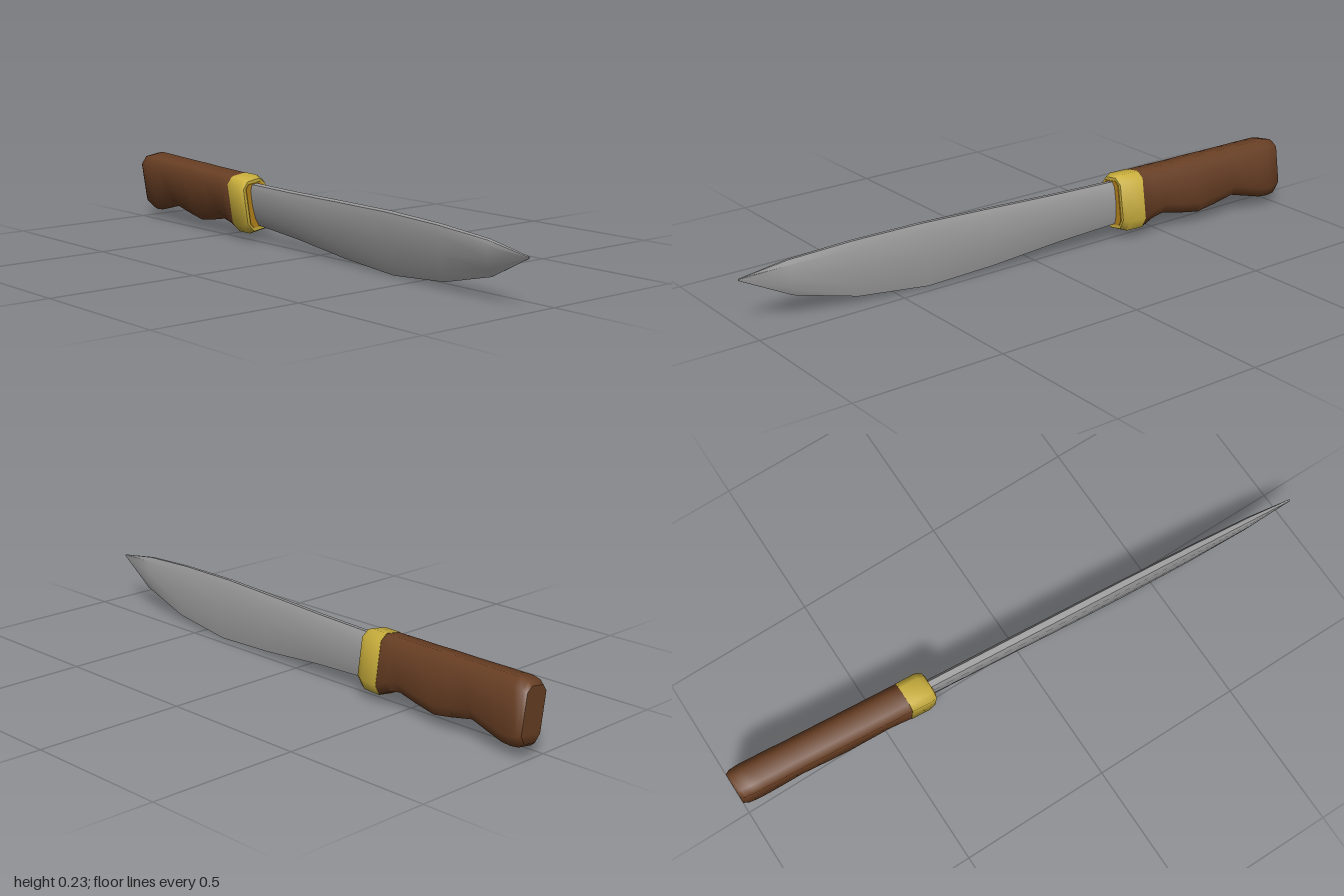
import * as THREE from 'three';
import { toCreasedNormals } from 'three/addons/utils/BufferGeometryUtils.js';

const ROLL = 0.157; // the knife leans about its long axis
const MID_Y = 0.13;

// Place a section point on the slanted centre line, with the lean applied
function place(x, y, z) {
  const centre = 0.051 - 0.076 * (z + 1);
  return [centre + x - (y - MID_Y) * ROLL, y + x * ROLL, z];
}

// Rectangle with cut corners, counterclockwise seen from the front
function handleSection([z, top, bottom, w, c = 0.022]) {
  return [
    [w, bottom + c * 1.4], [w, top - c], [w - c, top], [c - w, top],
    [-w, top - c], [-w, bottom + c * 1.4], [c - w, bottom], [w - c, bottom],
  ].map(([x, y]) => place(x, y, z));
}

// Rounded spine, full cheeks, narrow cutting edge
function bladeSection([z, top, bottom, w]) {
  const h = top - bottom;
  return [
    [0.25, 0], [0.75, 0.2], [1, 0.5], [0.95, 0.85], [0.5, 0.98],
    [-0.5, 0.98], [-0.95, 0.85], [-1, 0.5], [-0.75, 0.2], [-0.25, 0],
  ].map(([x, t]) => place(x * w, bottom + h * t / 0.98, z));
}

// Skin a row of sections ordered back to front and close both ends
function loft(rows, section, crease) {
  const rings = rows.map(section);
  const n = rings[0].length;
  const positions = rings.flat(2);
  const index = [];
  for (let i = 0; i < rings.length - 1; i++) {
    for (let j = 0; j < n; j++) {
      const a = i * n + j, b = i * n + (j + 1) % n;
      index.push(a, b, b + n, a, b + n, a + n);
    }
  }
  const last = (rings.length - 1) * n;
  for (let j = 1; j < n - 1; j++) {
    index.push(0, j + 1, j, last, last + j, last + j + 1);
  }
  const geometry = new THREE.BufferGeometry();
  geometry.setAttribute('position', new THREE.Float32BufferAttribute(positions, 3));
  geometry.setIndex(index);
  return toCreasedNormals(geometry, crease);
}

function material(name, color) {
  const m = new THREE.MeshStandardMaterial({ color });
  m.name = name;
  return m;
}

export function createModel() {
  const group = new THREE.Group();
  group.name = 'knife';
  const steel = material('steel', 0x999999);
  const brass = material('brass', 0xcbb03d);
  const darkBrass = material('dark brass', 0xb8861e);
  const wood = material('wood', 0x693f24);

  const add = (name, rows, section, mat, crease = 0.95) => {
    const mesh = new THREE.Mesh(loft(rows, section, crease), mat);
    mesh.name = name;
    group.add(mesh);
  };

  // Wooden handle with finger grooves: z, top, bottom, half width, corner cut
  add('handle', [
    [-1, 0.216, 0.05, 0.042, 0.018],
    [-0.985, 0.226, 0.038, 0.049],
    [-0.955, 0.231, 0.034, 0.051],
    [-0.92, 0.23, 0.036, 0.051],
    [-0.87, 0.229, 0.048, 0.051],
    [-0.8, 0.227, 0.065, 0.05],
    [-0.72, 0.225, 0.048, 0.05],
    [-0.65, 0.224, 0.036, 0.05],
    [-0.57, 0.221, 0.048, 0.05],
    [-0.5, 0.22, 0.061, 0.05],
    [-0.46, 0.219, 0.052, 0.05],
    [-0.415, 0.218, 0.031, 0.05],
  ], handleSection, wood);

  // Brass collar
  add('guard', [
    [-0.415, 0.219, 0.03, 0.051],
    [-0.35, 0.218, 0.031, 0.052],
    [-0.328, 0.21, 0.04, 0.046],
  ], handleSection, brass);

  // Darker face where the blade enters the collar
  add('guardFace', [
    [-0.329, 0.2, 0.052, 0.036, 0.012],
    [-0.325, 0.2, 0.052, 0.036, 0.012],
  ], handleSection, darkBrass);

  // Leaf-shaped blade: z, top, bottom, half thickness
  add('blade', [
    [-0.36, 0.197, 0.058, 0.02],
    [-0.1, 0.197, 0.041, 0.02],
    [0.15, 0.2, 0.017, 0.02],
    [0.39, 0.202, 0.003, 0.019],
    [0.63, 0.196, 0.024, 0.017],
    [0.84, 0.183, 0.075, 0.013],
    [1, 0.159, 0.153, 0.003],
  ], bladeSection, steel);

  return group;
}
